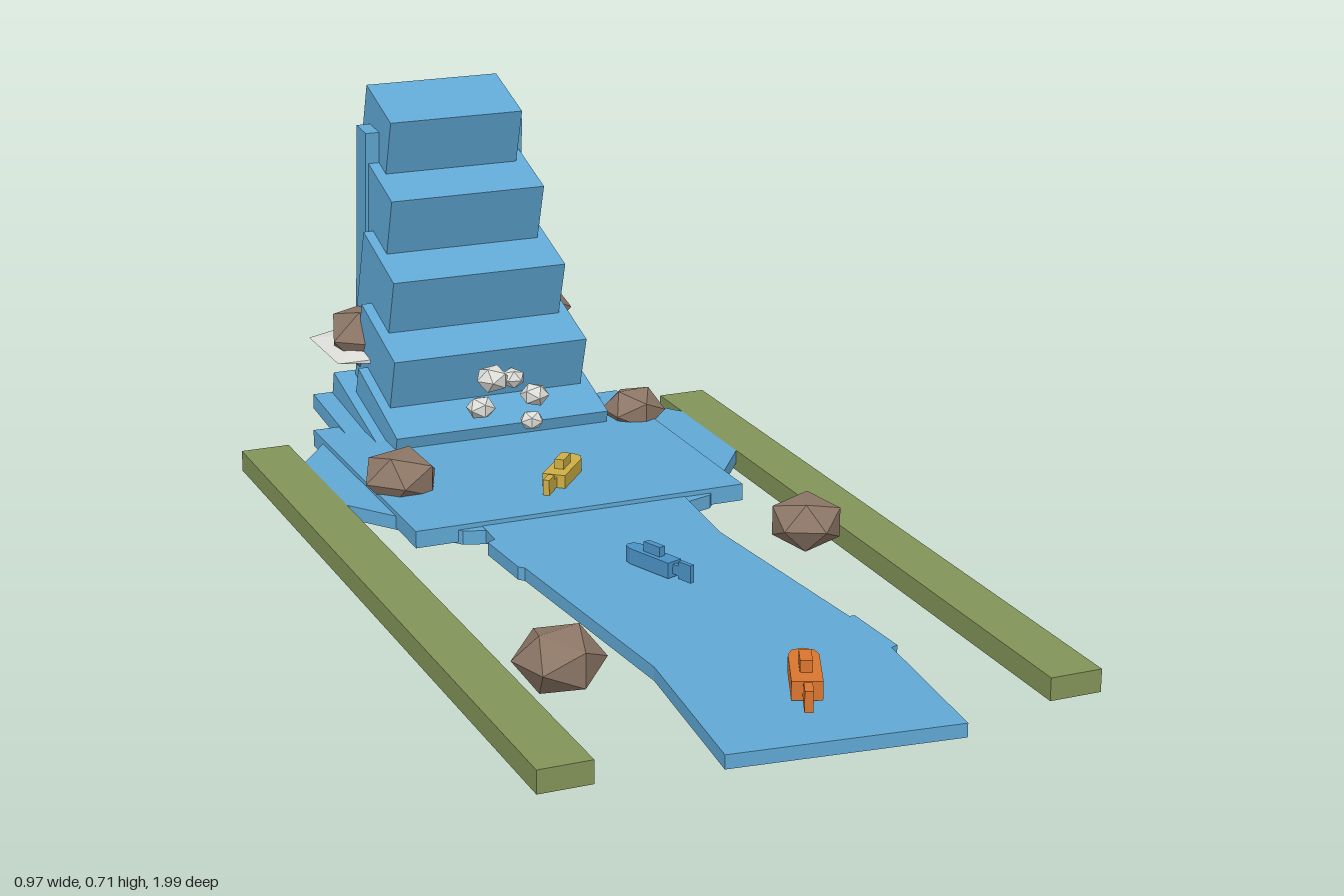
import * as THREE from 'three';

const paint = (name, color) => {
  const m = new THREE.MeshStandardMaterial({ color, flatShading: true });
  m.name = name;
  return m;
};

export function createModel() {
  const model = new THREE.Group();
  model.name = 'waterfallRiver';
  const water = paint('water', 0x60a8d4);
  const grass = paint('grass', 0x829458);
  const stone = paint('stone', 0x8c7666);
  const foamWhite = paint('foam', 0xdcdcd8);
  const orange = paint('orange', 0xd9752f);
  const yellow = paint('yellow', 0xcdae45);
  const blue = paint('fishBlue', 0x4a92c6);

  const add = (name, geometry, material, x, y, z, parent = model) => {
    const mesh = new THREE.Mesh(geometry, material);
    mesh.name = name;
    mesh.position.set(x, y, z);
    parent.add(mesh);
    return mesh;
  };
  const box = (w, h, d) => new THREE.BoxGeometry(w, h, d);
  const rad = THREE.MathUtils.degToRad;

  // Grass banks on both sides
  for (const s of [-1, 1]) add('bank', box(0.093, 0.04, 1.54), grass, s * 0.438, 0.05, 0.12);

  // Winding river: outline in plan (x, z), extruded to a thin slab
  const outline = [
    [-0.206, 0.952], [0.185, 0.992], [0.215, 0.685], [0.228, 0.68], [0.222, 0.54],
    [0.212, 0.54], [0.178, 0.1], [0.2, -0.15], [-0.2, -0.15], [-0.205, -0.02],
    [-0.222, -0.01], [-0.215, 0.12], [-0.206, 0.13], [-0.172, 0.61],
  ];
  const plan = new THREE.Shape(outline.map(([x, z]) => new THREE.Vector2(x, -z)));
  const riverGeo = new THREE.ExtrudeGeometry(plan, { depth: 0.024, bevelEnabled: false });
  riverGeo.rotateX(-Math.PI / 2);
  add('river', riverGeo, water, 0, 0.047, 0);

  // Plunge pool: ten-sided basin, square surface and tilted slabs below the fall
  add('poolBasin', new THREE.CylinderGeometry(0.412, 0.412, 0.026, 10), water, 0, 0.057, -0.415);
  add('poolSurface', box(0.64, 0.032, 0.6), water, -0.008, 0.063, -0.39);
  add('wideSlab', box(0.54, 0.03, 0.51), water, -0.007, 0.06, -0.597).rotation.x = rad(5);
  add('lowSlab', box(0.477, 0.05, 0.395), water, 0, 0.071, -0.648).rotation.x = rad(14);

  // Waterfall steps: [width, height, depth, front top edge y, z]
  const tilt = rad(18);
  const c = Math.cos(tilt), s = Math.sin(tilt);
  const steps = [
    [0.272, 0.182, 0.15, 0.66, -0.75],
    [0.315, 0.182, 0.17, 0.52, -0.69],
    [0.355, 0.182, 0.187, 0.375, -0.63],
    [0.397, 0.182, 0.205, 0.235, -0.572],
    [0.436, 0.09, 0.24, 0.103, -0.51],
  ];
  for (const [w, h, d, y, z] of steps) {
    const step = add('waterfallStep', box(w, h, d), water, 0,
      y + d / 2 * s - h / 2 * c, z - d / 2 * c - h / 2 * s);
    step.rotation.x = tilt;
  }
  add('waterfallBack', box(0.327, 0.55, 0.056), water, 0, 0.355, -0.873).rotation.x = rad(5);

  // Faceted rocks: [x, y, z, radius, squash, turn]
  const rocks = [
    [-0.315, 0.09, 0.56, 0.078, 0.75, 0.3], [0.327, 0.085, 0.145, 0.071, 0.73, 1.1],
    [-0.275, 0.097, -0.325, 0.076, 0.73, 0.8], [0.285, 0.09, -0.54, 0.063, 0.75, 0.1],
    [0, 0.36, -0.92, 0.088, 0.9, 0.5],
    [-0.17, 0.22, -0.82, 0.085, 0.78, 0.9], [0.172, 0.235, -0.82, 0.088, 0.8, 0.2],
  ];
  for (const [x, y, z, r, squash, turn] of rocks) {
    const rock = add('rock', new THREE.IcosahedronGeometry(r, 0), stone, x, y, z);
    rock.scale.y = squash;
    rock.rotation.y = turn;
  }

  // Flat ring of mist behind the fall
  const mist = add('mist', new THREE.IcosahedronGeometry(1, 0), foamWhite, -0.03, 0.2, -0.83);
  mist.scale.set(0.27, 0.025, 0.18);
  mist.rotation.z = rad(2);

  // Foam drops
  const drops = [
    [-0.06, 0.157, -0.475, 0.029], [-0.015, 0.193, -0.53, 0.034], [0.04, 0.177, -0.565, 0.025],
    [0.064, 0.157, -0.51, 0.029], [0.005, 0.155, -0.375, 0.024],
  ];
  drops.forEach(([x, y, z, r], i) => {
    const drop = add('foamDrop', new THREE.IcosahedronGeometry(r, 0), foamWhite, x, y, z);
    drop.scale.y = 0.8;
    drop.rotation.y = i * 0.7;
  });

  // Blocky fish, nose towards -z
  const fish = (name, mat, x, z, turn, size, wide) => {
    const g = new THREE.Group();
    g.name = name;
    g.position.set(x, 0.07, z);
    g.rotation.y = turn;
    g.scale.set(size * wide, size, size);
    add('body', box(0.05, 0.032, 0.105), mat, 0, 0.021, 0, g);
    add('head', new THREE.CylinderGeometry(0.025, 0.025, 0.032, 8), mat, 0, 0.021, -0.055, g);
    add('backFin', box(0.02, 0.022, 0.045), mat, 0, 0.046, -0.005, g);
    add('tailStem', box(0.014, 0.02, 0.03), mat, 0, 0.022, 0.062, g);
    add('tailFin', box(0.014, 0.036, 0.034), mat, 0, 0.024, 0.085, g);
    model.add(g);
  };
  fish('orangeFish', orange, 0.012, 0.78, rad(-23), 1, 1);
  fish('yellowFish', yellow, 0.014, -0.245, rad(-40), 0.92, 0.95);
  fish('blueFish', blue, -0.003, 0.23, rad(20), 0.88, 0.7);

  return model;
}
